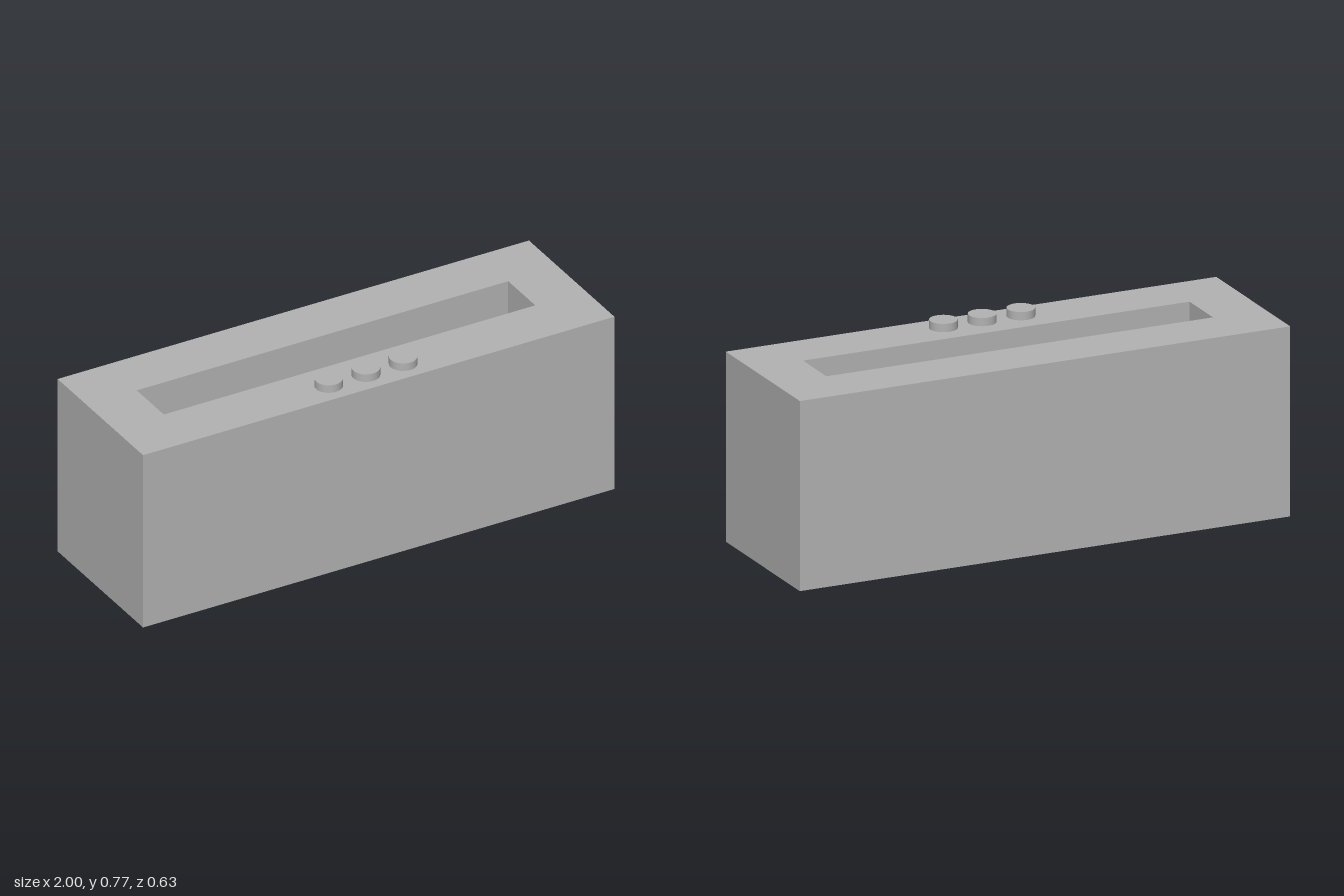
import * as THREE from 'three';

// Rectangle outline centred on the origin
function rectangle(Type, halfW, halfD) {
  const r = new Type();
  r.moveTo(-halfW, -halfD);
  r.lineTo(halfW, -halfD);
  r.lineTo(halfW, halfD);
  r.lineTo(-halfW, halfD);
  r.closePath();
  return r;
}

export function createModel() {
  const model = new THREE.Group();
  const grey = new THREE.MeshStandardMaterial({ color: 0xb2b2b2 });
  grey.name = 'grey';

  const height = 0.738;

  // Block with a slot running from top to bottom
  const outline = rectangle(THREE.Shape, 1, 0.316);
  outline.holes.push(rectangle(THREE.Path, 0.788, 0.1));
  const bodyGeometry = new THREE.ExtrudeGeometry(outline, { depth: height, bevelEnabled: false });
  bodyGeometry.rotateX(-Math.PI / 2);
  const body = new THREE.Mesh(bodyGeometry, grey);
  body.name = 'slottedBody';
  model.add(body);

  // Row of three round buttons along the front of the top
  const buttonHeight = 0.032;
  const buttonGeometry = new THREE.CylinderGeometry(0.053, 0.053, buttonHeight, 48);
  ['rightButton', 'middleButton', 'leftButton'].forEach((name, i) => {
    const button = new THREE.Mesh(buttonGeometry, grey);
    button.name = name;
    button.position.set((i - 1) * 0.158, height + buttonHeight / 2, 0.221);
    model.add(button);
  });

  return model;
}
